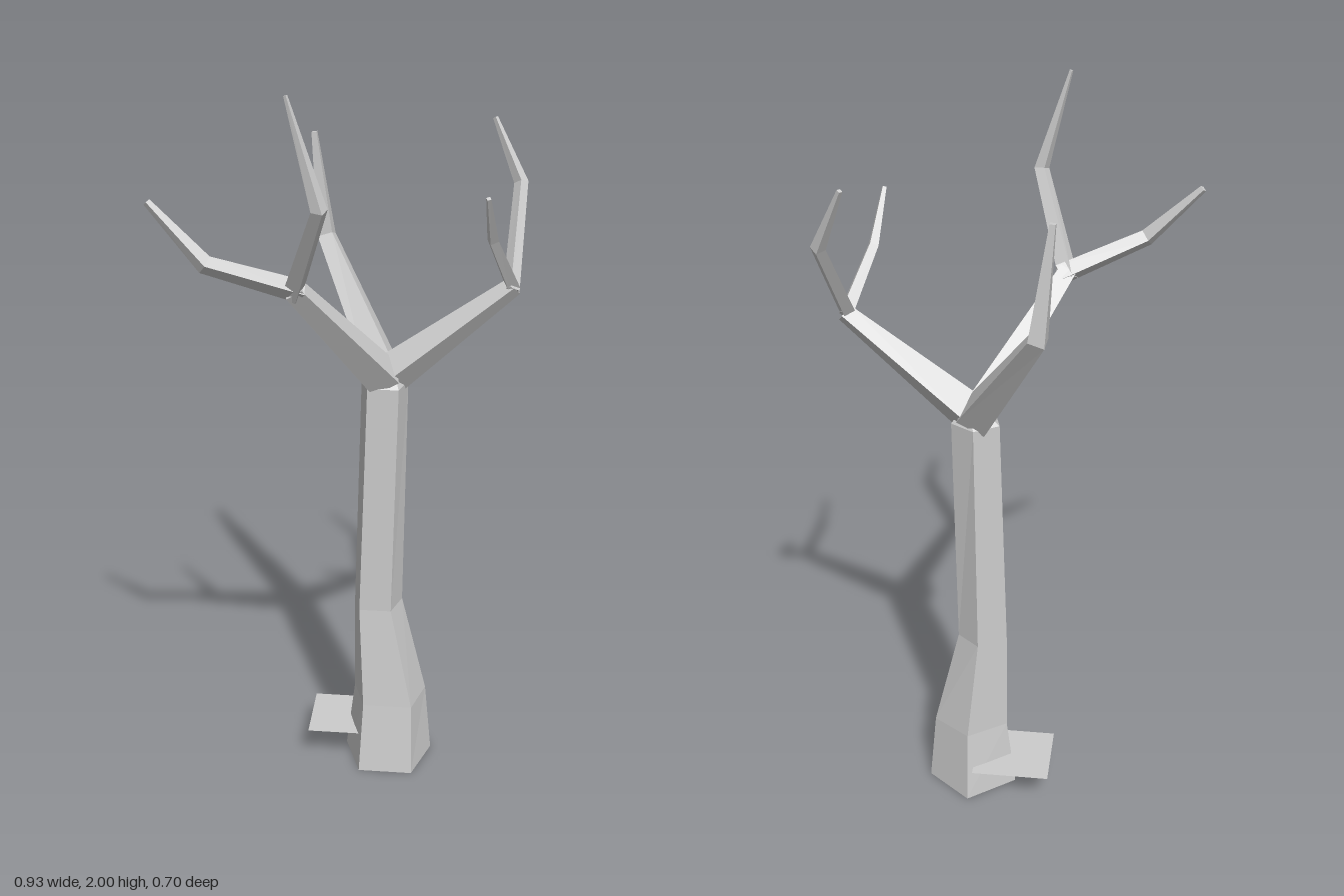
import * as THREE from 'three';

const bark = new THREE.MeshStandardMaterial({ color: 0xcccccc });
bark.name = 'greyBark';
const slabGrey = new THREE.MeshStandardMaterial({ color: 0xcccccc, side: THREE.DoubleSide });
slabGrey.name = 'greyPlate';

// Skins rings of points (counter-clockwise about the growth direction), closing both ends
function skin(rings) {
  const pos = [];
  const tri = (a, b, c) => pos.push(...a.toArray(), ...b.toArray(), ...c.toArray());
  const n = rings[0].length;
  for (let i = 0; i < rings.length - 1; i++) {
    for (let k = 0; k < n; k++) {
      const a = rings[i][k], b = rings[i][(k + 1) % n];
      const c = rings[i + 1][(k + 1) % n], d = rings[i + 1][k];
      tri(a, b, c);
      tri(a, c, d);
    }
  }
  const first = rings[0], last = rings[rings.length - 1];
  for (let k = 1; k < n - 1; k++) {
    tri(first[0], first[k + 1], first[k]);
    tri(last[0], last[k], last[k + 1]);
  }
  const geo = new THREE.BufferGeometry();
  geo.setAttribute('position', new THREE.Float32BufferAttribute(pos, 3));
  geo.computeVertexNormals();
  return geo;
}

// Tapered four-sided limb along points [x, y, z, radius]
function limb(points) {
  const P = points.map(p => new THREE.Vector3(p[0], p[1], p[2]));
  const dir = i => P[i + 1].clone().sub(P[i]).normalize();
  let normal = new THREE.Vector3(0, 1, 0);
  const rings = P.map((p, i) => {
    const t = new THREE.Vector3();
    if (i > 0) t.add(dir(i - 1));
    if (i < P.length - 1) t.add(dir(i));
    t.normalize();
    normal = normal.clone().addScaledVector(t, -normal.dot(t)).normalize();
    const side = t.clone().cross(normal);
    return [0, 1, 2, 3].map(k => {
      const a = k * Math.PI / 2, r = points[i][3];
      return p.clone().addScaledVector(normal, r * Math.cos(a)).addScaledVector(side, r * Math.sin(a));
    });
  });
  return skin(rings);
}

export function createModel() {
  const tree = new THREE.Group();
  tree.name = 'bareTree';
  const add = (name, geo, mat = bark) => {
    const mesh = new THREE.Mesh(geo, mat);
    mesh.name = name;
    tree.add(mesh);
    return mesh;
  };

  // Five-sided trunk: [y, right x, back x, left x, front left x, front right x, back z, side z, front z]
  const levels = [
    [0, 0.25, 0.125, -0.005, 0.045, 0.2, -0.208, -0.11, 0.037],
    [0.21, 0.23, 0.125, 0.02, 0.055, 0.195, -0.18, -0.108, 0.012],
    [0.51, 0.157, 0.095, 0.02, 0.04, 0.13, -0.153, -0.1, -0.016],
    [1.18, 0.164, 0.1, 0.036, 0.058, 0.143, -0.142, -0.1, -0.02],
    [1.235, 0.125, 0.115, 0.1, 0.105, 0.12, -0.09, -0.085, -0.07],
  ];
  add('trunk', skin(levels.map(([y, xr, xb, xl, xfl, xfr, zb, zs, zf]) => [
    [xr, zs], [xb, zb], [xl, zs], [xfl, zf], [xfr, zf],
  ].map(([x, z]) => new THREE.Vector3(x, y, z)))));

  // Three main boughs and the twigs they fork into
  const limbs = {
    frontBough: [[0.1, 1.2, -0.06, 0.058], [-0.11, 1.51, 0.18, 0.032]],
    frontOuterTwig: [[-0.09, 1.5, 0.17, 0.03], [-0.315, 1.585, 0.253, 0.024], [-0.455, 1.73, 0.232, 0.01]],
    frontUpperTwig: [[-0.115, 1.49, 0.17, 0.028], [-0.025, 1.74, 0.333, 0.021], [-0.1, 2, 0.33, 0.005]],
    backBough: [[0.1, 1.2, -0.095, 0.058], [-0.085, 1.525, -0.328, 0.03], [-0.117, 1.81, -0.325, 0.01]],
    leftBough: [[0.11, 1.2, -0.08, 0.058], [0.438, 1.465, -0.066, 0.026]],
    leftBackTwig: [[0.43, 1.455, -0.055, 0.022], [0.447, 1.7, -0.247, 0.019], [0.372, 1.86, -0.302, 0.007]],
    leftFrontTwig: [[0.435, 1.46, -0.07, 0.022], [0.378, 1.61, 0.04, 0.016], [0.363, 1.735, 0.134, 0.007]],
  };
  for (const [name, points] of Object.entries(limbs)) add(name, limb(points));

  // Thin flat square cutting into the foot of the trunk
  const plate = add('basePlate', new THREE.PlaneGeometry(0.22, 0.205).rotateX(-Math.PI / 2), slabGrey);
  plate.position.set(0, 0.1, -0.107);

  return tree;
}
